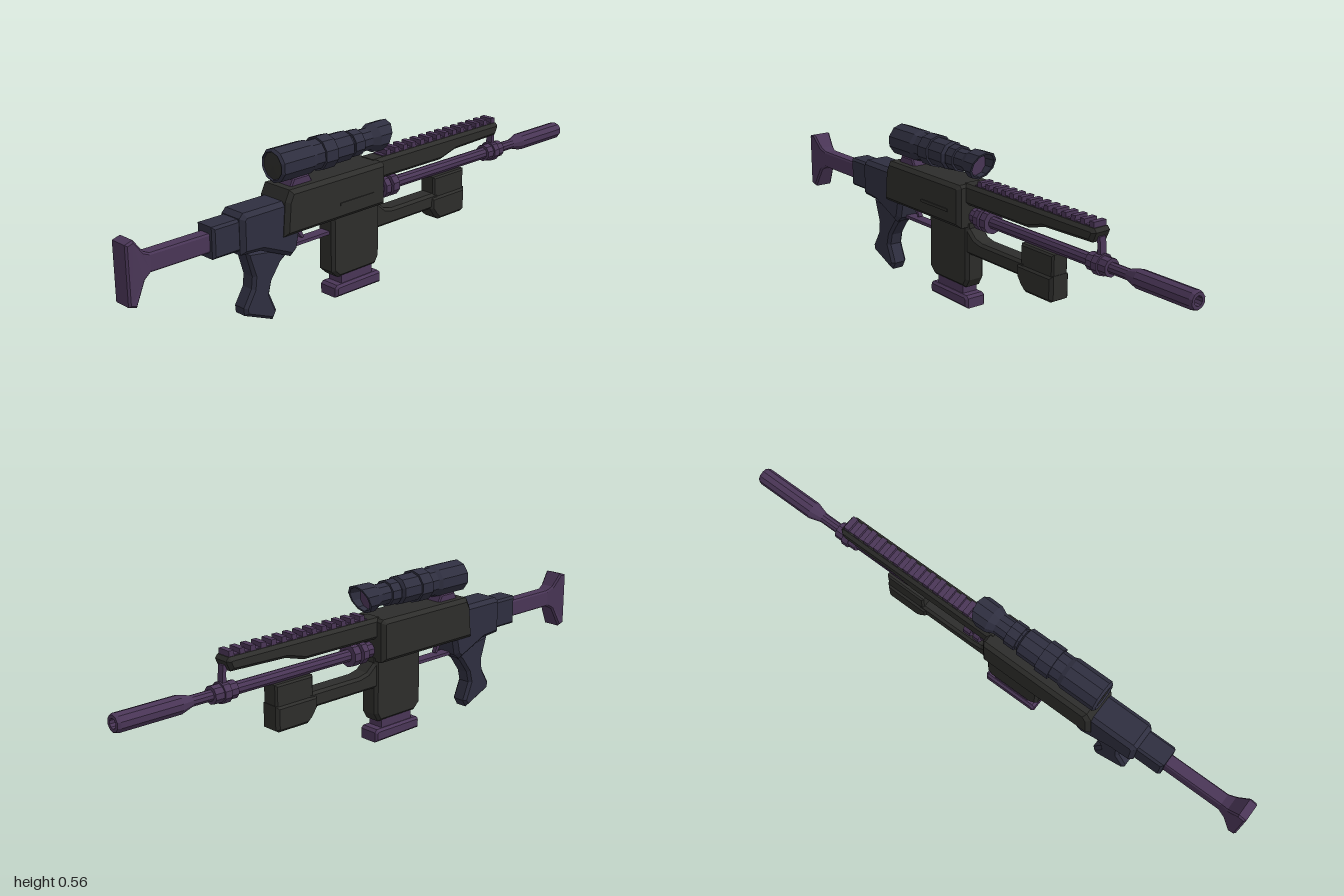
import * as THREE from 'three';

const black = new THREE.MeshStandardMaterial({ color: 0x2d2d2b });
const navy = new THREE.MeshStandardMaterial({ color: 0x2f2f40 });
const purple = new THREE.MeshStandardMaterial({ color: 0x4a3657 });
[['charcoal', black], ['slate navy', navy], ['dull purple', purple]].forEach(([n, m]) => { m.name = n; });

const BORE = 0.323, SIGHT = 0.503; // heights of the barrel and scope axes

export function createModel() {
  const group = new THREE.Group();

  const add = (name, geo, mat) => {
    const mesh = new THREE.Mesh(geo, mat);
    mesh.name = name;
    group.add(mesh);
    return mesh;
  };

  // Side outline of [z, y] points, extruded across x to half-width hw with a chamfer
  const plate = (name, mat, hw, chamfer, pts, rule) => {
    const shape = new THREE.Shape(pts.map(([z, y]) => new THREE.Vector2(z, y)));
    const geo = new THREE.ExtrudeGeometry(shape, {
      depth: 2 * (hw - chamfer), bevelEnabled: chamfer > 0, bevelThickness: chamfer,
      bevelSize: chamfer, bevelOffset: -chamfer, bevelSegments: 1,
    });
    geo.translate(0, 0, chamfer - hw).rotateY(-Math.PI / 2);
    if (rule) bend(geo, rule);
    return add(name, geo, mat);
  };

  const block = (name, mat, hw, chamfer, z0, z1, y0, y1) =>
    plate(name, mat, hw, chamfer, [[z0, y0], [z1, y0], [z1, y1], [z0, y1]]);

  // Move vertices by a rule, then renew the flat normals
  const bend = (geo, rule) => {
    const p = geo.attributes.position, v = new THREE.Vector3();
    for (let i = 0; i < p.count; i++) {
      rule(v.fromBufferAttribute(p, i));
      p.setXYZ(i, v.x, v.y, v.z);
    }
    geo.computeVertexNormals();
  };

  // Faceted turned part along z; profile of [z, radius] running towards the muzzle
  const turned = (name, mat, y, pts, rule) => {
    const geo = new THREE.LatheGeometry(pts.map(([z, r]) => new THREE.Vector2(r, -z)), 10)
      .rotateX(-Math.PI / 2).translate(0, y, 0).toNonIndexed();
    bend(geo, rule || (() => {}));
    return add(name, geo, mat);
  };

  // Stock: slim arm widening into the butt
  plate('stock', purple, 0.036, 0.006, [
    [1, 0.22], [1, 0.41], [0.972, 0.418], [0.935, 0.372], [0.91, 0.36], [0.68, 0.36],
    [0.68, 0.30], [0.91, 0.30], [0.935, 0.285], [0.972, 0.212],
  ], v => { v.x *= THREE.MathUtils.clamp(0.62 + (v.z - 0.91) / 0.06 * 0.38, 0.62, 1); });
  block('stockSocket', navy, 0.04, 0.008, 0.59, 0.698, 0.28, 0.383);

  // Rear receiver and grip
  plate('rearReceiver', navy, 0.055, 0.014, [
    [0.60, 0.268], [0.60, 0.385], [0.585, 0.40], [0.42, 0.40], [0.36, 0.30],
    [0.375, 0.23], [0.40, 0.21], [0.52, 0.262],
  ]);
  plate('grip', navy, 0.031, 0.01, [
    [0.565, 0.262], [0.40, 0.24], [0.395, 0.215], [0.425, 0.195], [0.465, 0.14], [0.475, 0.10],
    [0.448, 0.035], [0.464, 0.008], [0.576, 0.055], [0.578, 0.08], [0.545, 0.135], [0.54, 0.175],
  ]);

  // Main body with side slot
  plate('body', black, 0.07, 0.013, [
    [0.44, 0.288], [0.43, 0.40], [0.412, 0.435], [0.01, 0.435], [0, 0.425], [0, 0.288],
  ]);
  block('sideSlot', black, 0.004, 0, 0.06, 0.21, 0.335, 0.345).position.x = 0.069;

  // Lower frame, trigger and guard
  block('lowerFrame', navy, 0.03, 0, 0.19, 0.39, 0.282, 0.295);
  block('triggerGuard', purple, 0.02, 0, 0.19, 0.39, 0.225, 0.236);
  plate('trigger', purple, 0.008, 0, [
    [0.34, 0.29], [0.325, 0.29], [0.322, 0.265], [0.312, 0.243], [0.32, 0.24], [0.335, 0.26],
  ]);

  // Magazine housing, foot and lower fore-end
  plate('magazineHousing', black, 0.037, 0.01, [
    [0.212, 0.30], [0.212, 0.095], [0.185, 0.07], [0.015, 0.07], [-0.003, 0.10], [-0.003, 0.30],
  ]);
  block('magazineNeck', purple, 0.03, 0, 0.03, 0.17, 0.035, 0.075);
  plate('magazineFoot', purple, 0.041, 0.008, [
    [0.203, 0.003], [0.203, 0.035], [0.193, 0.044], [0.005, 0.044], [-0.005, 0.035], [-0.005, 0.0],
  ]);
  plate('foreEndArm', black, 0.033, 0.009, [
    [0.02, 0.295], [0, 0.285], [-0.035, 0.255], [-0.07, 0.247], [-0.30, 0.247], [-0.30, 0.193], [0.02, 0.193],
  ]);
  block('foreEndUpper', black, 0.032, 0.006, -0.43, -0.275, 0.225, 0.306);
  plate('foreEndBlock', black, 0.039, 0.01, [
    [-0.26, 0.193], [-0.26, 0.237], [-0.432, 0.237], [-0.432, 0.155], [-0.42, 0.148], [-0.30, 0.148], [-0.28, 0.165],
  ]);

  // Upper shroud and toothed rail
  plate('upperShroud', black, 0.038, 0.011, [
    [0.02, 0.365], [0.02, 0.437], [-0.605, 0.437], [-0.615, 0.425], [-0.60, 0.392],
    [-0.385, 0.386], [-0.31, 0.365],
  ]);
  block('railBase', purple, 0.022, 0, -0.59, -0.03, 0.43, 0.44);
  for (let i = 0; i < 14; i++) {
    const z = -0.045 - i * 0.0413;
    block('railTooth', purple, 0.025, 0, z - 0.02, z, 0.435, 0.455);
  }

  // Barrel, collars, post and muzzle
  turned('barrel', purple, BORE, [
    [0.01, 0.027], [-0.035, 0.027], [-0.035, 0.04], [-0.058, 0.04], [-0.058, 0.026], [-0.07, 0.026],
    [-0.07, 0.04], [-0.098, 0.04], [-0.098, 0.021], [-0.57, 0.021], [-0.57, 0.03], [-0.60, 0.03],
    [-0.60, 0.036], [-0.625, 0.036], [-0.625, 0.03], [-0.657, 0.03], [-0.657, 0.018], [-0.73, 0.018],
    [-0.775, 0.031], [-0.99, 0.031], [-1, 0.027], [-1, 0.016], [-0.95, 0.016], [-0.95, 0],
  ]);
  plate('frontPost', purple, 0.012, 0, [
    [-0.602, 0.34], [-0.622, 0.34], [-0.615, 0.41], [-0.59, 0.41], [-0.606, 0.385],
  ]);

  // Scope: rear lens, stepped tube, slanted hood and mount
  turned('scopeTube', navy, SIGHT, [
    [0.425, 0], [0.425, 0.044], [0.432, 0.047], [0.424, 0.056], [0.30, 0.056], [0.285, 0.05],
    [0.25, 0.05], [0.25, 0.057], [0.20, 0.057], [0.20, 0.05], [0.125, 0.05], [0.118, 0.038],
    [0.11, 0.038], [0.11, 0.045], [0.07, 0.045], [0.07, 0.038], [0.015, 0.038], [0.015, 0],
  ]);
  turned('rearLens', black, SIGHT, [[0.428, 0], [0.426, 0.045]]);
  turned('scopeHood', navy, SIGHT, [
    [0.03, 0.036], [0.0, 0.05], [-0.042, 0.051], [-0.042, 0.043], [0.0, 0.04], [0.0, 0],
  ], v => { if (v.z < -0.03) v.z -= (v.y - SIGHT) * 0.45; });
  turned('frontLens', purple, SIGHT, [[-0.004, 0.04], [-0.004, 0]]);
  plate('scopeMount', purple, 0.037, 0.005, [
    [0.39, 0.43], [0.375, 0.46], [0.31, 0.46], [0.295, 0.43],
  ]);

  return group;
}
